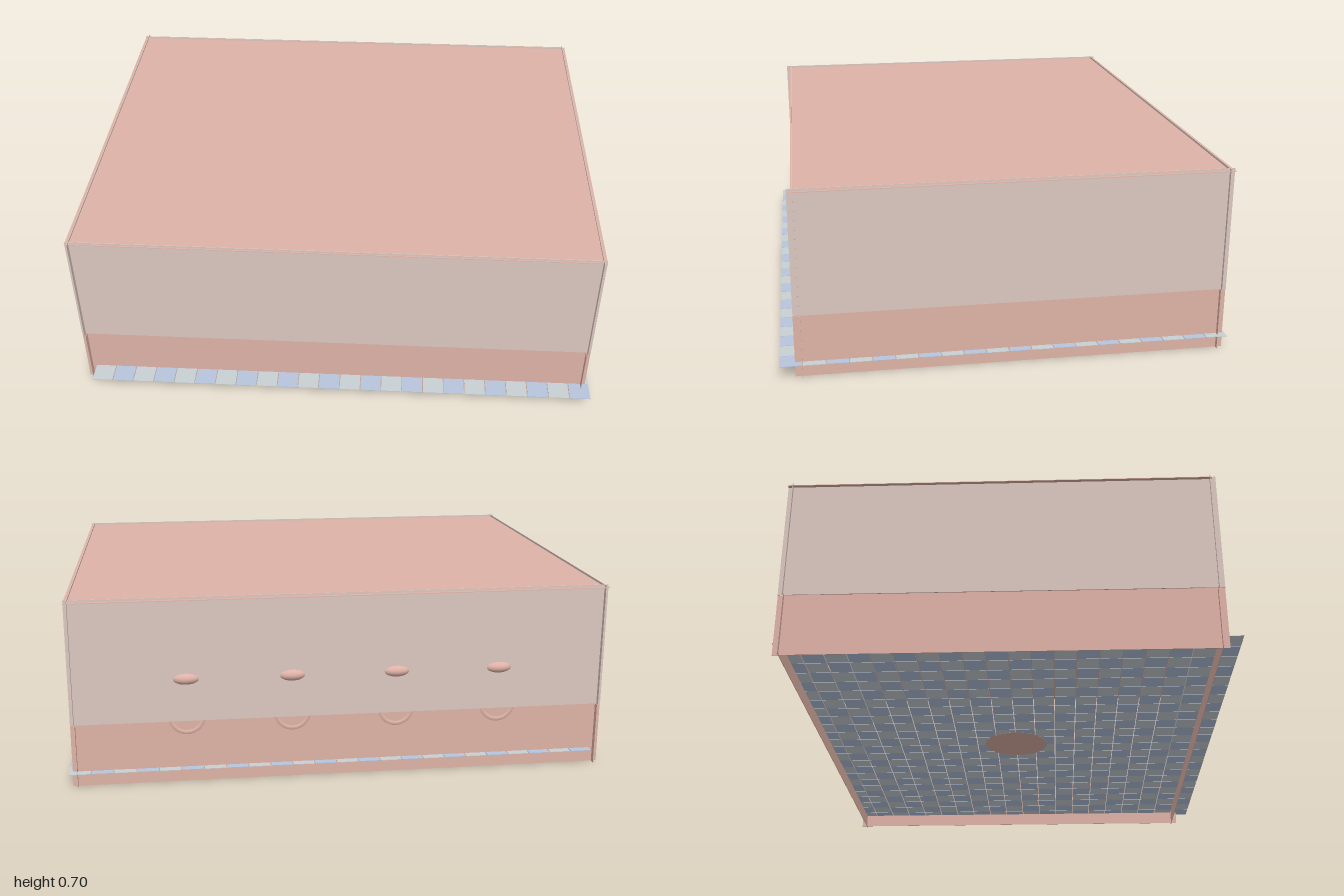
import * as THREE from 'three';

const mat = (color) => new THREE.MeshStandardMaterial({ color, side: THREE.DoubleSide });
const pink = mat(0xdeb2a6);
const beige = mat(0xdbc7c0);
const tileColors = [mat(0xc8d0d4), mat(0xb6c4dc)];

function add(parent, name, geometry, material, x, y, z) {
  const mesh = new THREE.Mesh(geometry, material);
  mesh.name = name;
  mesh.position.set(x, y, z);
  parent.add(mesh);
  return mesh;
}

export function createModel() {
  const room = new THREE.Group();
  room.name = 'washroom';

  // Room extents: panels overrun each other slightly at the corners
  const x0 = -1, x1 = 0.985, z0 = -0.81, z1 = 0.765;
  const midX = (x0 + x1) / 2, midZ = (z0 + z1) / 2;
  const thin = 0.002, split = 0.235, top = 0.7;

  // Four walls, each with a pink lower panel and a beige upper panel
  const bands = [
    ['Lower', 0, split, pink, 0],
    ['Upper', split, top, beige, 0.004],
  ];
  for (const [band, a, b, material, out] of bands) {
    const h = b - a, y = (a + b) / 2;
    const long = new THREE.BoxGeometry(x1 - x0, h, thin);
    const short = new THREE.BoxGeometry(thin, h, z1 - z0);
    add(room, 'frontWall' + band, long, material, midX, y, 0.74 + out);
    add(room, 'backWall' + band, long, material, midX, y, -0.788 - out);
    add(room, 'leftWall' + band, short, material, 0.968 + out, y, midZ);
    add(room, 'rightWall' + band, short, material, -0.982 - out, y, midZ);
  }

  // Ceiling slab just under the wall tops
  add(room, 'ceiling', new THREE.BoxGeometry(x1 - x0, thin, 1.56), pink, midX, 0.691, -0.03);

  // Checkered floor tiles, reaching past the walls
  const floor = new THREE.Group();
  floor.name = 'floor';
  room.add(floor);
  const pitch = 0.082, cols = 24, rows = 20;
  const tile = new THREE.BoxGeometry(pitch - 0.003, thin, pitch - 0.003);
  for (let i = 0; i < cols; i++) {
    for (let j = 0; j < rows; j++) {
      const x = 1 - (cols - i - 0.5) * pitch;
      const z = (j + 0.5 - rows / 2) * pitch;
      add(floor, 'tile', tile, tileColors[(i + j + 1) % 2], x, 0.055, z);
    }
  }

  // Round base in the middle of the floor
  add(room, 'roundBase', new THREE.CylinderGeometry(0.13, 0.13, 0.02, 32), pink, 0.01, 0.0635, 0);

  // Four wall fixtures along the back: a ring with a rounded knob above it
  const ring = new THREE.TorusGeometry(0.06, 0.016, 10, 32);
  const knob = new THREE.SphereGeometry(1, 20, 12);
  for (let i = 0; i < 4; i++) {
    const fixture = new THREE.Group();
    fixture.name = 'wallFixture';
    fixture.position.set(0.565 - i * 0.387, 0, -0.776);
    room.add(fixture);
    add(fixture, 'ring', ring, pink, 0, 0.25, 0);
    add(fixture, 'knob', knob, pink, 0, 0.395, 0).scale.set(0.055, 0.025, 0.032);
  }

  return room;
}
